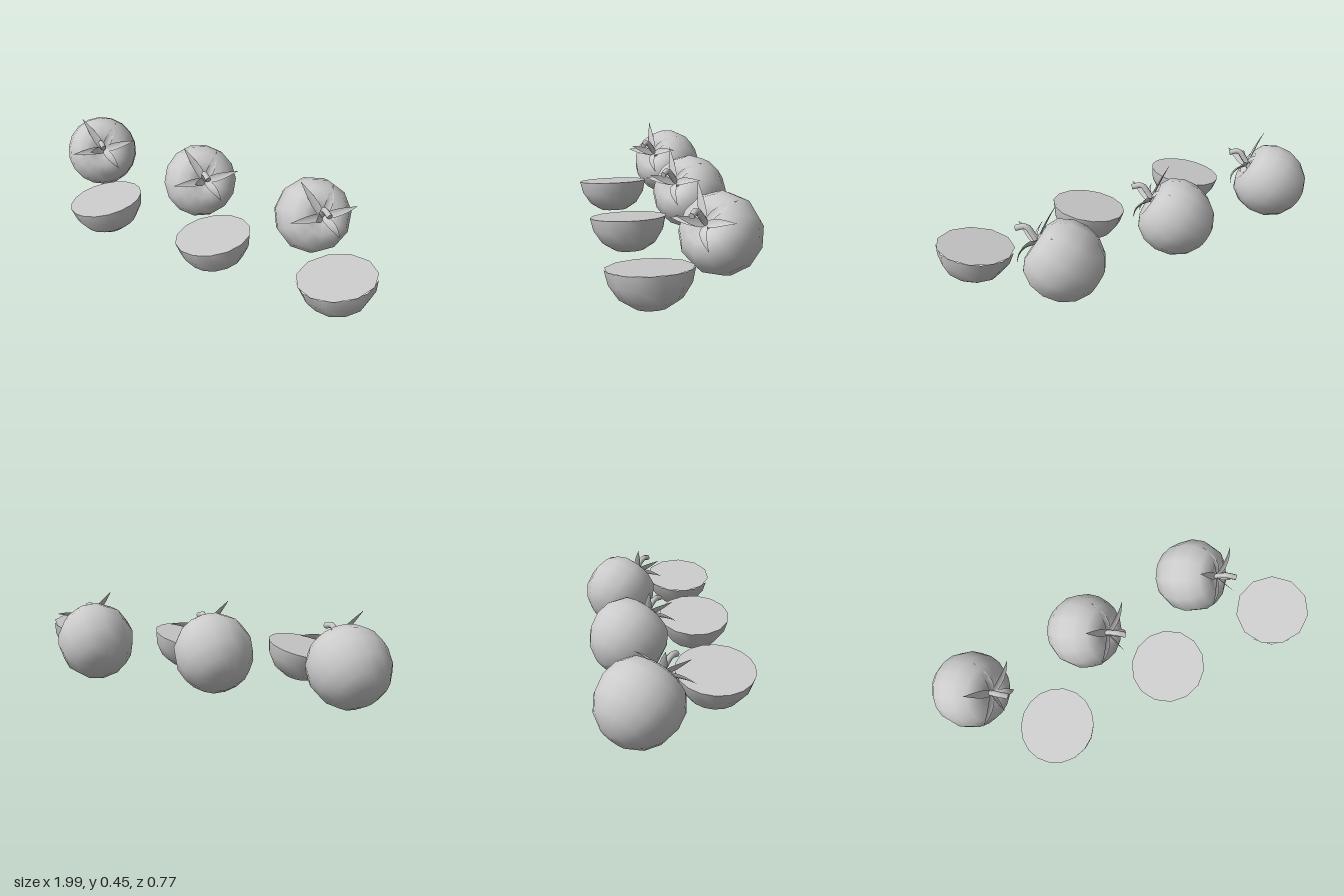
import * as THREE from 'three';

const material = new THREE.MeshStandardMaterial({ color: 0xcccccc });
const leafMaterial = new THREE.MeshStandardMaterial({ color: 0xcccccc, side: THREE.DoubleSide });
const V = (x, y, z) => new THREE.Vector3(x, y, z);

// Direction in which the stem end of a whole tomato points
const axis = V(0.57, 0.53, 0.63).normalize();
const calyxBase = V(0.09, 0.082, 0.1);

function addMesh(parent, name, geometry, mat = material) {
  const mesh = new THREE.Mesh(geometry, mat);
  mesh.name = name;
  parent.add(mesh);
  return mesh;
}

function lathe(points, sides) {
  return new THREE.LatheGeometry(points.map(([r, y]) => new THREE.Vector2(r, y)), sides);
}

// Tapered leaf with a shallow centre fold, swept along a curve
function sepalGeometry(tip, lift, steps) {
  const control = calyxBase.clone().lerp(tip, 0.5).addScaledVector(axis, lift);
  const curve = new THREE.QuadraticBezierCurve3(calyxBase, control, tip);
  const positions = [];
  const index = [];
  for (let i = 0; i <= steps; i++) {
    const t = i / steps;
    const p = curve.getPoint(t);
    const side = curve.getTangent(t).cross(axis).normalize();
    const half = 0.009 * (1 - t) + 0.014 * Math.sin(Math.PI * Math.pow(t, 0.7));
    for (const s of [-1, 0, 1]) {
      const q = p.clone().addScaledVector(side, s * half);
      q.addScaledVector(axis, Math.abs(s) * half * 0.4);
      positions.push(q.x, q.y, q.z);
    }
    if (i === steps) break;
    for (let k = 0; k < 2; k++) {
      const a = i * 3 + k;
      index.push(a, a + 1, a + 3, a + 1, a + 4, a + 3);
    }
  }
  const g = new THREE.BufferGeometry();
  g.setAttribute('position', new THREE.Float32BufferAttribute(positions, 3));
  g.setIndex(index);
  g.computeVertexNormals();
  return g;
}

function wholeTomato(sides) {
  const group = new THREE.Group();
  group.name = 'wholeTomato';

  // Rounded body with a dimple at the stem end
  const body = addMesh(group, 'tomatoBody', lathe([
    [0, -0.188], [0.07, -0.18], [0.135, -0.14], [0.18, -0.075], [0.198, 0.005],
    [0.187, 0.08], [0.148, 0.142], [0.095, 0.168], [0.05, 0.158], [0, 0.135],
  ], sides));
  body.quaternion.setFromUnitVectors(V(0, 1, 0), axis);

  // Six sepals: tip position and how far the middle is lifted
  const sepals = [
    [V(-0.034, 0.253, 0.11), 0.005],
    [V(0.235, 0.132, 0), 0.03],
    [V(-0.02, 0.09, 0.243), 0.02],
    [V(0.196, -0.008, 0.11), 0.06],
    [V(0.08, 0.185, -0.05), 0.06],
    [V(0.11, 0.142, 0.243), -0.015],
  ];
  for (const [tip, lift] of sepals) {
    addMesh(group, 'sepal', sepalGeometry(tip, lift, 6), leafMaterial);
  }

  // Bent stem with a flat cut end
  const path = new THREE.CatmullRomCurve3([
    V(0.08, 0.07, 0.088), V(0.098, 0.125, 0.122), V(0.115, 0.16, 0.15), V(0.155, 0.15, 0.18),
  ]);
  addMesh(group, 'stem', new THREE.TubeGeometry(path, 8, 0.015, 7));
  const cap = addMesh(group, 'stemEnd', new THREE.CircleGeometry(0.015, 7));
  cap.position.copy(path.getPoint(1));
  cap.quaternion.setFromUnitVectors(V(0, 0, 1), path.getTangent(1));
  return group;
}

function halfTomato(sides) {
  const group = new THREE.Group();
  group.name = 'halfTomato';
  addMesh(group, 'halfSkin', lathe([
    [0, -0.173], [0.075, -0.168], [0.135, -0.13], [0.177, -0.065], [0.192, 0],
  ], sides));
  // Flat cut face, turned to meet the rim vertices
  const cut = new THREE.CircleGeometry(0.192, sides);
  cut.rotateX(-Math.PI / 2).rotateY(Math.PI / 2);
  addMesh(group, 'cutFace', cut);
  group.rotation.z = 0.2;
  return group;
}

export function createModel() {
  const model = new THREE.Group();
  model.name = 'tomatoes';
  // Three pairs, each a little coarser than the one before
  [18, 14, 11].forEach((sides, i) => {
    const whole = wholeTomato(sides);
    whole.position.set(-0.802 + i * 0.665, 0.197, -0.192);
    const half = halfTomato(sides);
    half.position.set(-0.497 + i * 0.655, 0.182, 0.193);
    model.add(whole, half);
  });
  return model;
}
